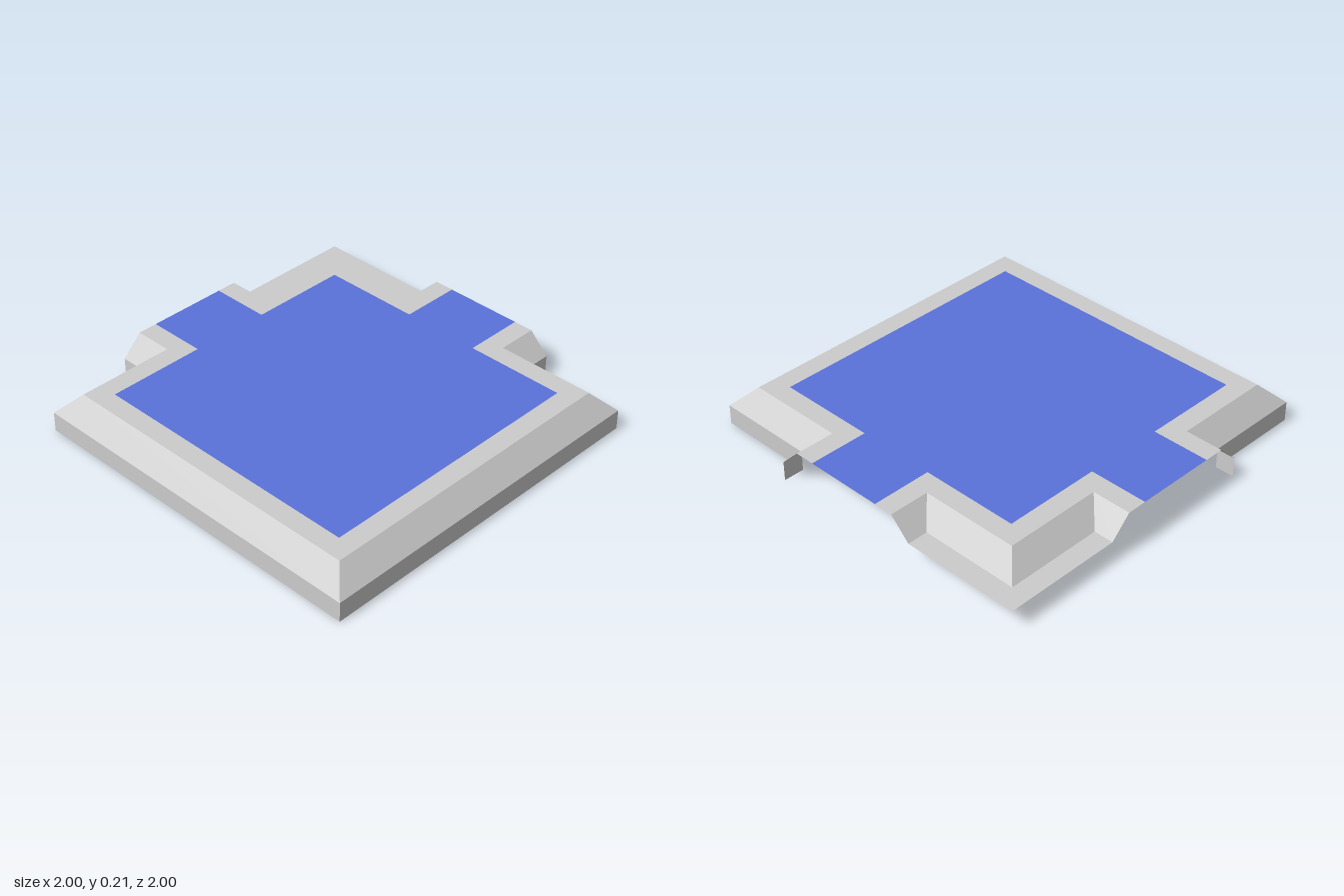
import * as THREE from 'three';

const TOP = 0.21, MID = 0.105, STEP = 0.105;

// Edges of the floor as [x, z], walked so that the outside lies on the side (-dz, dx)
const outerEdge = [[-0.265, -1], [-0.265, -0.69], [-0.79, -0.69], [-0.79, 0.79], [0.68, 0.79], [0.68, 0.26], [1, 0.26]];
const cornerEdge = [[1, -0.16], [0.68, -0.16], [0.68, -0.685], [0.16, -0.685], [0.16, -1]];

// Push a right-angled path outward by d with mitred corners, kept inside the tile
function offsetPath(path, d) {
  const normal = i => {
    const [a, b] = [path[i], path[i + 1]];
    return [-Math.sign(b[1] - a[1]), Math.sign(b[0] - a[0])];
  };
  const last = path.length - 1;
  return path.map(([x, z], i) => {
    const n = [0, 0];
    for (const k of [i - 1, i]) {
      if (k < 0 || k >= last) continue;
      const m = normal(k);
      n[0] += m[0];
      n[1] += m[1];
    }
    return [THREE.MathUtils.clamp(x + n[0] * d, -1, 1), THREE.MathUtils.clamp(z + n[1] * d, -1, 1)];
  });
}

// Sweep a profile of [offset, height] points along a path, one flat quad per segment
function sweep(path, profile) {
  const rows = profile.map(([d, y]) => offsetPath(path, d).map(([x, z]) => [x, y, z]));
  const pos = [];
  for (let j = 0; j < rows.length - 1; j++) {
    for (let i = 0; i < path.length - 1; i++) {
      const a = rows[j][i], b = rows[j][i + 1], c = rows[j + 1][i + 1], d = rows[j + 1][i];
      pos.push(...a, ...c, ...b, ...a, ...d, ...c);
    }
  }
  const geo = new THREE.BufferGeometry();
  geo.setAttribute('position', new THREE.Float32BufferAttribute(pos, 3));
  geo.computeVertexNormals();
  return geo;
}

export function createModel() {
  const group = new THREE.Group();
  const grey = new THREE.MeshStandardMaterial({ color: 0xcccccc, side: THREE.DoubleSide, flatShading: true });
  const blue = new THREE.MeshStandardMaterial({ color: 0x5a72da, side: THREE.DoubleSide });
  const add = (name, geo, mat) => {
    const mesh = new THREE.Mesh(geo, mat);
    mesh.name = name;
    group.add(mesh);
  };

  // Flat floor with one arm to the back and one to the side
  const outline = [...outerEdge, ...cornerEdge].map(([x, z]) => new THREE.Vector2(x, -z));
  add('floor', new THREE.ShapeGeometry(new THREE.Shape(outline)).rotateX(-Math.PI / 2).translate(0, TOP, 0), blue);

  // Outer border: flat rim, bevel and upright skirt
  add('outerBorder', sweep(outerEdge, [[0, TOP], [STEP, TOP], [2 * STEP, MID], [2 * STEP, 0]]), grey);

  // Inner corner border: flat rim, bevel and low ledge out to the tile edge
  add('cornerBorder', sweep(cornerEdge, [[0, TOP], [STEP, TOP], [2 * STEP, MID], [0.32, MID]]), grey);

  return group;
}
